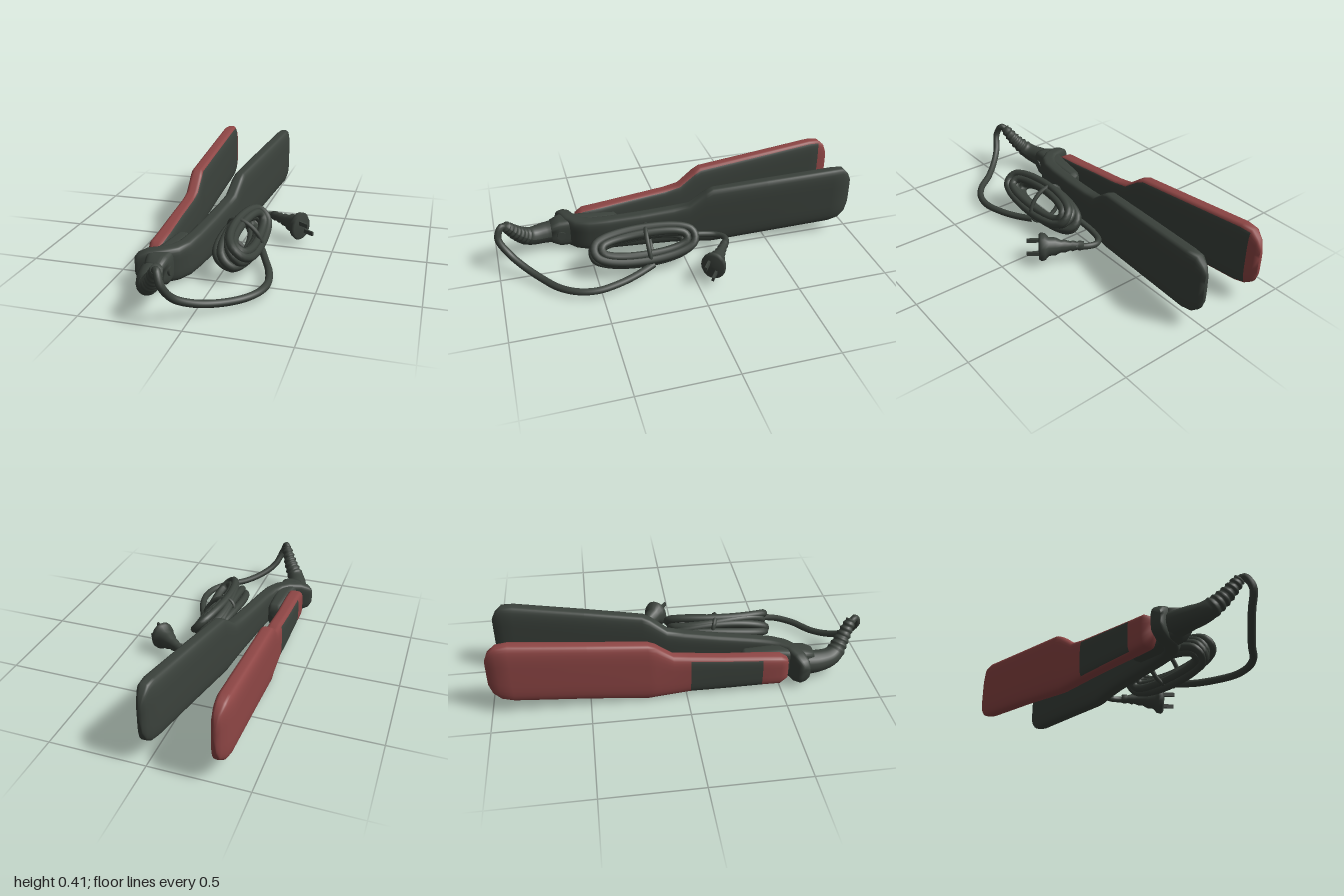
import * as THREE from 'three';

const dark = new THREE.MeshStandardMaterial({ color: 0x3b423c });
dark.name = 'charcoal plastic';
const red = new THREE.MeshStandardMaterial({ color: 0x8e4645 });
red.name = 'red shell';

const V = (x, y, z) => new THREE.Vector3(x, y, z);

// Upright rounded-box sections [x, z, yLow, yHigh, thickness] joined in a row;
// isRed(c, s, z) picks the colour by side (c), height (s) and station.
function loft(name, sections, isRed = () => false, power = 0.5) {
  const n = 28, pos = [], lists = [[], []];
  const pow = v => Math.sign(v) * Math.abs(v) ** power;
  const angle = j => (j + 0.5) / n * Math.PI * 2;
  sections.forEach(([x, z, y0, y1, t], i) => {
    const a = sections[Math.max(i - 1, 0)], b = sections[Math.min(i + 1, sections.length - 1)];
    const dir = new THREE.Vector2(b[0] - a[0], b[1] - a[1]).normalize();
    for (let j = 0; j < n; j++) {
      const s = pow(Math.cos(angle(j))) * t / 2;
      pos.push(x + dir.y * s, (y0 + y1) / 2 + pow(Math.sin(angle(j))) * (y1 - y0) / 2, z - dir.x * s);
    }
  });
  for (let i = 0; i < sections.length - 1; i++) {
    const z = (sections[i][1] + sections[i + 1][1]) / 2;
    for (let j = 0; j < n; j++) {
      const k = (j + 1) % n, p = i * n + j, q = i * n + k;
      const mid = angle(j + 0.5);
      lists[isRed(Math.cos(mid), Math.sin(mid), z) ? 1 : 0].push(p, q, p + n, q, q + n, p + n);
    }
  }
  // End caps
  const last = (sections.length - 1) * n, capRed = isRed(0, 1, sections[0][1]) ? 1 : 0;
  for (let j = 1; j < n - 1; j++) {
    lists[capRed].push(0, j + 1, j);
    lists[capRed].push(last, last + j, last + j + 1);
  }
  const g = new THREE.BufferGeometry();
  g.setAttribute('position', new THREE.Float32BufferAttribute(pos, 3));
  g.setIndex([...lists[0], ...lists[1]]);
  g.addGroup(0, lists[0].length, 0);
  g.addGroup(lists[0].length, lists[1].length, 1);
  g.computeVertexNormals();
  const m = new THREE.Mesh(g, [dark, red]);
  m.name = name;
  return m;
}

function tube(name, points, r, closed = false, segments = 90) {
  const curve = new THREE.CatmullRomCurve3(points, closed);
  const m = new THREE.Mesh(new THREE.TubeGeometry(curve, segments, r, 10, closed), dark);
  m.name = name;
  return m;
}

// Tube whose radius follows radius(u)
function taperedTube(name, points, radius) {
  const curve = new THREE.CatmullRomCurve3(points), seg = 60, sides = 16;
  const g = new THREE.TubeGeometry(curve, seg, 1, sides);
  const p = g.attributes.position, v = V(0, 0, 0);
  for (let i = 0; i <= seg; i++) {
    const c = curve.getPointAt(i / seg), r = radius(i / seg);
    for (let j = 0; j <= sides; j++) {
      const k = i * (sides + 1) + j;
      v.fromBufferAttribute(p, k).sub(c).multiplyScalar(r).add(c);
      p.setXYZ(k, v.x, v.y, v.z);
    }
  }
  g.computeVertexNormals();
  const m = new THREE.Mesh(g, dark);
  m.name = name;
  return m;
}

export function createModel() {
  const model = new THREE.Group();
  model.name = 'hairStraightener';

  // Red arm: dark inner face and dark grip panel on the outer side
  model.add(loft('redArm', [
    [-0.33, -1.0, 0.17, 0.32, 0.02], [-0.33, -0.98, 0.12, 0.37, 0.05], [-0.335, -0.94, 0.09, 0.405, 0.075],
    [-0.335, -0.88, 0.075, 0.41, 0.09], [-0.33, -0.5, 0.04, 0.37, 0.09], [-0.325, -0.2, 0.005, 0.34, 0.09],
    [-0.32, -0.16, 0.005, 0.32, 0.088], [-0.315, -0.07, 0.01, 0.25, 0.085], [-0.31, 0.02, 0.015, 0.235, 0.085],
    [-0.31, 0.2, 0.015, 0.215, 0.085], [-0.305, 0.4, 0.015, 0.195, 0.09], [-0.305, 0.5, 0.015, 0.185, 0.09],
    [-0.305, 0.54, 0.04, 0.16, 0.06],
  ], (c, s, z) => {
    if (z < -0.93) return true;
    if (c > 0.45) return false;
    return !(z > 0 && z < 0.42 && c < -0.5 && s < 0.75);
  }));

  // Dark arm, its end hooking across behind the red one
  model.add(loft('darkArm', [
    [0.022, -0.985, 0.17, 0.33, 0.02], [0.022, -0.965, 0.12, 0.37, 0.05], [0.022, -0.93, 0.09, 0.405, 0.075],
    [0.018, -0.87, 0.075, 0.405, 0.09], [-0.03, -0.5, 0.035, 0.37, 0.09], [-0.07, -0.2, 0.0, 0.34, 0.085],
    [-0.076, -0.16, 0.0, 0.32, 0.085], [-0.088, -0.07, 0.01, 0.25, 0.085], [-0.1, 0.02, 0.015, 0.235, 0.085],
    [-0.122, 0.2, 0.015, 0.215, 0.085], [-0.145, 0.38, 0.012, 0.2, 0.085], [-0.165, 0.48, 0.01, 0.193, 0.088],
    [-0.195, 0.54, 0.01, 0.19, 0.09], [-0.24, 0.58, 0.01, 0.19, 0.085], [-0.31, 0.605, 0.01, 0.185, 0.08],
    [-0.355, 0.622, 0.03, 0.165, 0.07], [-0.373, 0.63, 0.06, 0.14, 0.05],
  ]));

  // Hinge between the arms
  model.add(loft('hinge', [
    [-0.225, 0.31, 0.05, 0.15, 0.06], [-0.225, 0.33, 0.03, 0.17, 0.075],
    [-0.235, 0.5, 0.02, 0.18, 0.1], [-0.25, 0.64, 0.02, 0.18, 0.13], [-0.25, 0.69, 0.04, 0.16, 0.1],
  ]));
  const pin = new THREE.Mesh(new THREE.CylinderGeometry(0.025, 0.025, 0.05, 16), dark);
  pin.name = 'hingePin';
  pin.rotation.z = Math.PI / 2;
  pin.position.set(-0.205, 0.1, 0.64);
  model.add(pin);

  // Ribbed cord sleeve
  model.add(taperedTube('cordSleeve', [
    V(-0.265, 0.095, 0.6), V(-0.262, 0.09, 0.72), V(-0.235, 0.1, 0.81), V(-0.18, 0.165, 0.875), V(-0.13, 0.255, 0.935),
  ], u => u > 0.995 ? 0.004 : 0.072 - 0.045 * u + (u > 0.55 ? 0.004 * Math.sin(u * 90) : 0)));

  // Cord from the sleeve round to the coil
  model.add(tube('cord', [
    V(-0.15, 0.23, 0.92), V(-0.125, 0.255, 0.955), V(-0.1, 0.2, 0.98), V(-0.065, 0.12, 0.935), V(0, 0.07, 0.87),
    V(0.09, 0.04, 0.79), V(0.19, 0.035, 0.71), V(0.25, 0.035, 0.62), V(0.268, 0.035, 0.52),
    V(0.245, 0.04, 0.4), V(0.205, 0.045, 0.3), V(0.16, 0.06, 0.2),
  ], 0.019));

  // Coiled cord, an oval ring tilted to the left
  const coil = new THREE.Group();
  coil.name = 'coiledCord';
  coil.position.set(0.07, 0.13, 0.23);
  coil.rotation.z = -Math.PI / 4;
  for (let i = 0; i < 8; i++) {
    const lift = -0.045 + 0.03 * (i % 4), spread = i < 4 ? 0.02 : -0.012;
    const points = [];
    for (let k = 0; k < 20; k++) {
      const a = k / 20 * Math.PI * 2;
      const c = Math.cos(a), s = Math.sin(a);
      points.push(V(
        Math.sign(c) * Math.abs(c) ** 0.75 * (0.07 + spread),
        lift + 0.012 * Math.sin(a * 2 + i * 1.7),
        s * (0.25 + spread + 0.01 * Math.sin(i * 2.3))));
    }
    coil.add(tube('coilStrand', points, 0.022, true, 70));
  }
  // Tie round the middle of the coil
  const tie = [];
  for (let k = 0; k < 12; k++) {
    const a = k / 12 * Math.PI * 2;
    tie.push(V(Math.cos(a) * 0.112, Math.sin(a) * 0.07, -0.03 + 0.02 * Math.sin(a)));
  }
  coil.add(tube('coilTie', tie, 0.012, true, 48));
  model.add(coil);

  // Cord from the coil to the plug
  model.add(tube('plugCord', [
    V(0.02, 0.12, 0.03), V(0.0, 0.1, -0.06), V(-0.005, 0.085, -0.14), V(0.01, 0.08, -0.2),
    V(0.05, 0.085, -0.232), V(0.1, 0.09, -0.228), V(0.16, 0.095, -0.195),
  ], 0.017, false, 50));

  // Plug: ribbed neck, flared body, flange and two pins
  const plug = new THREE.Group();
  plug.name = 'plug';
  plug.position.set(0.12, 0.095, -0.215);
  plug.rotation.y = -0.6;
  const profile = [[0, 0], [0.024, 0], [0.028, 0.025], [0.022, 0.035], [0.031, 0.06], [0.025, 0.07],
    [0.036, 0.1], [0.034, 0.12], [0.05, 0.15], [0.052, 0.185], [0.075, 0.205], [0.08, 0.225], [0.07, 0.238], [0, 0.24]];
  const bodyGeo = new THREE.LatheGeometry(profile.map(([r, h]) => new THREE.Vector2(r, h)), 18);
  bodyGeo.rotateZ(-Math.PI / 2).scale(1, 1, 0.85);
  const body = new THREE.Mesh(bodyGeo, dark);
  body.name = 'plugBody';
  plug.add(body);
  for (const side of [-1, 1]) {
    const prong = new THREE.Mesh(new THREE.BoxGeometry(0.075, 0.022, 0.012), dark);
    prong.name = 'plugPin';
    prong.position.set(0.265, 0.028 * side, 0.02 * side);
    plug.add(prong);
  }
  model.add(plug);

  return model;
}
